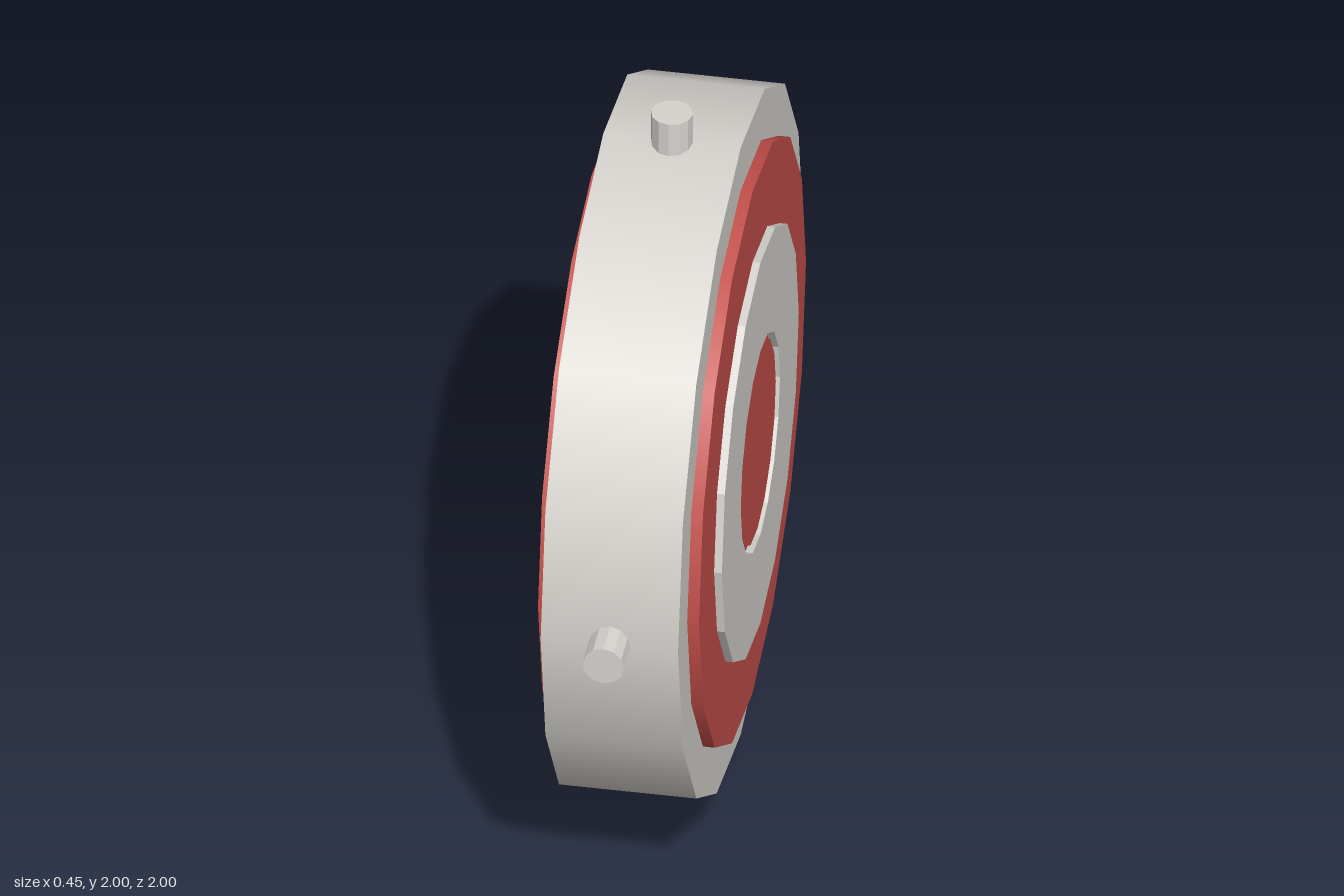
import * as THREE from 'three';

export function createModel() {
  const model = new THREE.Group();
  const metal = new THREE.MeshStandardMaterial({ color: 0xd6d3ce });
  metal.name = 'pale grey';
  const red = new THREE.MeshStandardMaterial({ color: 0xc44f4a });
  red.name = 'red';
  const SIDES = 16;

  function add(name, geometry, material) {
    const mesh = new THREE.Mesh(geometry, material);
    mesh.name = name;
    model.add(mesh);
    return mesh;
  }

  // Disc lying across the x axis, smooth around its rim
  function disc(name, radius, halfWidth, material) {
    const g = new THREE.CylinderGeometry(radius, radius, halfWidth * 2, SIDES);
    g.rotateZ(-Math.PI / 2);
    g.translate(0, 1, 0);
    return add(name, g, material);
  }

  disc('drumBody', 0.913, 0.175, metal);
  disc('redPlates', 0.78, 0.205, red);
  disc('centreButtons', 0.265, 0.218, red);

  // Raised pale ring on each face, open in the middle
  for (const side of [1, -1]) {
    const polygon = (path, r) => {
      const points = [];
      for (let i = 0; i < SIDES; i++) {
        const a = (i / SIDES) * Math.PI * 2;
        points.push(new THREE.Vector2(Math.cos(a) * r, Math.sin(a) * r));
      }
      return path.setFromPoints(points);
    };
    const shape = polygon(new THREE.Shape(), 0.56);
    shape.holes.push(polygon(new THREE.Path(), 0.285));
    const ring = new THREE.ExtrudeGeometry(shape, { depth: 0.025, bevelEnabled: false });
    ring.translate(0, 0, 0.2);
    ring.rotateY(side * Math.PI / 2);
    ring.translate(0, 1, 0);
    add(side > 0 ? 'leftRing' : 'rightRing', ring, metal);
  }

  // Four short pegs around the rim
  ['topPeg', 'frontPeg', 'bottomPeg', 'backPeg'].forEach((name, i) => {
    const g = new THREE.CylinderGeometry(0.053, 0.053, 0.2, 12).toNonIndexed();
    g.translate(0, 0.9, 0);
    g.rotateX(i * Math.PI / 2);
    g.translate(0, 1, 0);
    g.computeVertexNormals();
    add(name, g, metal);
  });

  return model;
}
